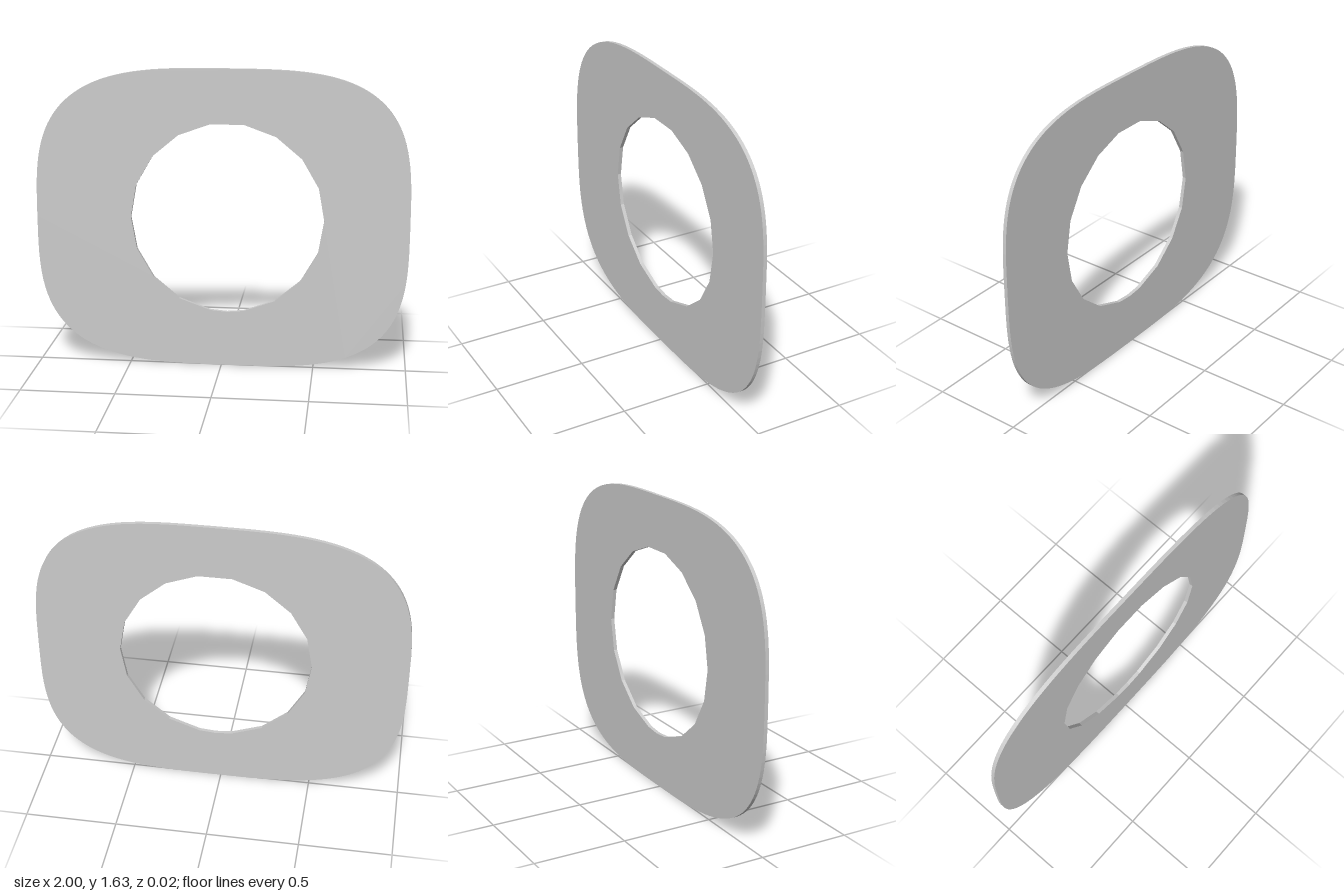
import * as THREE from 'three';

const DEPTH = 0.02;
const CENTRE_X = 0.03;
const HALF_HEIGHT = 0.813;

// Rounded outline: a superellipse slightly softer on the right-hand (-x) half
function outlinePoints(count) {
  const points = [];
  for (let i = 0; i < count; i++) {
    const angle = (i / count) * Math.PI * 2;
    const c = Math.cos(angle), s = Math.sin(angle);
    const power = 2 / (c < 0 ? 3.3 : 3.4);
    const halfWidth = c < 0 ? 1 + CENTRE_X : 1 - CENTRE_X;
    points.push(new THREE.Vector2(
      CENTRE_X + Math.sign(c) * halfWidth * Math.abs(c) ** power,
      HALF_HEIGHT * (1 + Math.sign(s) * Math.abs(s) ** power)
    ));
  }
  return points;
}

// Faceted opening: 18 sides, with one extra point at the very bottom
function openingPoints() {
  const angles = Array.from({ length: 18 }, (_, i) => i * 20);
  angles.push(270);
  angles.sort((a, b) => a - b);
  return angles.map((deg) => {
    const a = THREE.MathUtils.degToRad(deg);
    return new THREE.Vector2(CENTRE_X + 0.518 * Math.cos(a), 0.822 + 0.518 * Math.sin(a));
  });
}

export function createModel() {
  const group = new THREE.Group();
  group.name = 'flatGasket';

  // Thin plate with the opening cut through it
  const shape = new THREE.Shape(outlinePoints(120));
  shape.holes.push(new THREE.Path(openingPoints()));
  const geometry = new THREE.ExtrudeGeometry(shape, { depth: DEPTH, bevelEnabled: false });
  geometry.translate(0, 0, -DEPTH / 2);

  const plate = new THREE.Mesh(
    geometry,
    new THREE.MeshStandardMaterial({ color: 0xcccccc, flatShading: true })
  );
  plate.name = 'plate';
  group.add(plate);
  return group;
}
